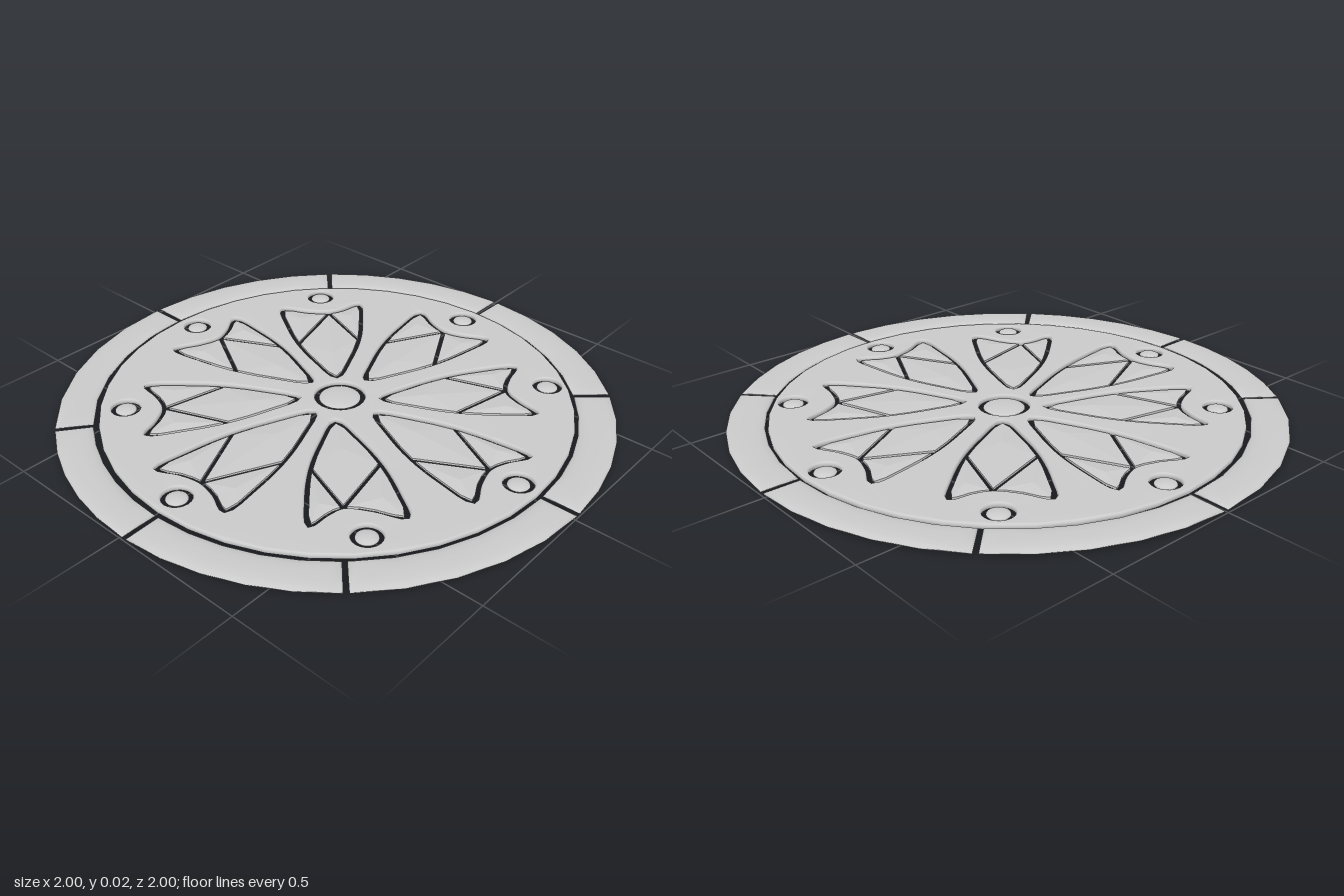
import * as THREE from 'three';
import { mergeVertices } from 'three/addons/utils/BufferGeometryUtils.js';

const HEIGHT = 0.022, GAP = 0.007;
const material = new THREE.MeshStandardMaterial({ color: 0xcccccc });
const facetMaterial = new THREE.MeshStandardMaterial({ color: 0xcccccc, flatShading: true });

// Plan coordinates are (x, -z). Petal corners: inner tip, side A, notch, side B.
const PETALS = [
  [0, 0.17, -0.165, 0.71, 0, 0.65, 0.165, 0.71],
  [0.125, 0.11, 0.365, 0.61, 0.43, 0.455, 0.595, 0.40],
  [0.17, 0.02, 0.72, 0.165, 0.66, 0.02, 0.72, -0.155],
  [0.095, -0.11, 0.61, -0.355, 0.43, -0.45, 0.41, -0.585],
  [0, -0.12, 0.165, -0.71, 0, -0.66, -0.165, -0.71],
  [-0.105, -0.09, -0.34, -0.605, -0.42, -0.455, -0.58, -0.405],
  [-0.145, 0.02, -0.70, -0.16, -0.635, 0.02, -0.70, 0.165],
  [-0.095, 0.11, -0.61, 0.355, -0.45, 0.46, -0.405, 0.595],
];
const STUDS = [[0, 0.78], [0.53, 0.58], [0.775, 0.02], [0.575, -0.505],
  [0, -0.765], [-0.52, -0.55], [-0.77, 0.02], [-0.565, 0.535]];
const HUB = [0, 0.02];
const RIM_JOINTS = [0.9, 43, 89.2, 133.4, 179.4, 232.8, 271.4, 313.3];

function add(parent, name, geometry, mat = material) {
  const mesh = new THREE.Mesh(geometry, mat);
  mesh.name = name;
  parent.add(mesh);
  return mesh;
}

function counterClockwise(points) {
  return THREE.ShapeUtils.isClockWise(points) ? points.slice().reverse() : points;
}

// Moves an outline outward by d (inward when negative), with limited mitres.
function offset(points, d) {
  const p = counterClockwise(points), n = p.length;
  const normal = (a, b) => new THREE.Vector2(b.y - a.y, a.x - b.x).normalize();
  return p.map((v, i) => {
    const n1 = normal(p[(i + n - 1) % n], v), n2 = normal(v, p[(i + 1) % n]);
    const m = n1.clone().add(n2).normalize();
    return v.clone().addScaledVector(m, d / Math.max(m.dot(n1), 0.4));
  });
}

function arc(cx, cy, r, from, to, steps) {
  return Array.from({ length: steps + 1 }, (_, i) => {
    const a = from + (to - from) * i / steps;
    return new THREE.Vector2(cx + r * Math.cos(a), cy + r * Math.sin(a));
  });
}
const circle = (cx, cy, r, n) => arc(cx, cy, r, 0, 2 * Math.PI, n).slice(0, n);

// Flat plate with softly rounded edges above and below.
function pillow(shape, bevel) {
  const round = 0.009;
  let g = new THREE.ExtrudeGeometry(shape, {
    depth: HEIGHT - 2 * round, bevelThickness: round, bevelSize: bevel,
    bevelOffset: -bevel, bevelSegments: 3, curveSegments: 1,
  });
  g.translate(0, 0, round);
  g.rotateX(-Math.PI / 2);
  g.deleteAttribute('uv');
  g.deleteAttribute('normal');
  g = mergeVertices(g, 1e-5);
  g.computeVertexNormals();
  return g;
}

// Cut pane: an outline rising to a point above and below.
function facetedPane(outline) {
  const p = counterClockwise(outline), n = p.length;
  const c = p.reduce((s, v) => s.add(v), new THREE.Vector2()).divideScalar(n);
  const low = 0.007, high = HEIGHT - low, pos = [];
  const put = (v, y) => pos.push(v.x, y, -v.y);
  p.forEach((a, i) => {
    const b = p[(i + 1) % n];
    put(a, high); put(b, high); put(c, HEIGHT);
    put(b, low); put(a, low); put(c, 0);
    put(a, low); put(b, low); put(b, high);
    put(a, low); put(b, high); put(a, high);
  });
  const g = new THREE.BufferGeometry();
  g.setAttribute('position', new THREE.Float32BufferAttribute(pos, 3));
  g.computeVertexNormals();
  return g;
}

// Closed petal curve with 12 knots: 0 tip, 4 side A, 6 notch, 8 side B.
function petalCurve(t) {
  const [T, A, N, B] = [0, 2, 4, 6].map(i => new THREE.Vector2(t[i], t[i + 1]));
  const side = end => {
    const out = end.clone().sub(T).normalize();
    const across = new THREE.Vector2(-out.y, out.x);
    if (across.dot(N.clone().sub(T)) > 0) across.negate();
    const control = T.clone().lerp(end, 0.5).addScaledVector(across, 0.085);
    const q = new THREE.QuadraticBezierCurve(T, control, end);
    return [0.22, 0.5, 0.78].map(s => q.getPoint(s));
  };
  const dip = end => end.clone().lerp(N, 0.5)
    .addScaledVector(T.clone().sub(N).normalize(), 0.008);
  const knots = [T, ...side(A), A, dip(A), N, dip(B), B, ...side(B).reverse()];
  return new THREE.CatmullRomCurve3(knots.map(v => new THREE.Vector3(v.x, v.y, 0)), true);
}

function run(curve, from, to, per) {
  return Array.from({ length: (to - from) * per + 1 }, (_, i) => {
    const v = curve.getPoint(((from + i / per) % 12) / 12);
    return new THREE.Vector2(v.x, v.y);
  });
}

// Low dome, rounded on both faces.
function dome(parent, name, [x, y], r) {
  const m = add(parent, name, new THREE.SphereGeometry(r, 20, 10));
  m.scale.y = HEIGHT / 2 / r;
  m.position.set(x, HEIGHT / 2, -y);
}

export function createModel() {
  const model = new THREE.Group();
  model.name = 'roseWindow';

  // Outer rim in eight blocks
  const rim = new THREE.Group();
  rim.name = 'outerRim';
  model.add(rim);
  RIM_JOINTS.forEach((deg, i) => {
    const rad = Math.PI / 180, next = RIM_JOINTS[i + 1] ?? RIM_JOINTS[0] + 360;
    const a = deg * rad + 0.009, b = next * rad - 0.009;
    const outline = [...arc(0, 0, 1, a, b, 5), ...arc(0, 0, 0.868, b, a, 5)];
    add(rim, 'rimBlock', pillow(new THREE.Shape(outline), 0.05));
  });

  // Tracery plate pierced by petals, studs and hub
  const plate = new THREE.Shape(circle(0, 0.005, 0.854, 40));
  const pierce = points => plate.holes.push(new THREE.Path(points));
  const panes = new THREE.Group();
  panes.name = 'petalPanes';
  model.add(panes);
  PETALS.forEach(t => {
    const curve = petalCurve(t);
    pierce(offset(run(curve, 0, 12, 4).slice(0, -1), GAP));
    const inner = [...run(curve, 10, 14, 2), ...run(curve, 6, 6, 1)];
    add(panes, 'kitePane', facetedPane(offset(inner, -GAP)), facetMaterial);
    for (const from of [2, 6]) {
      add(panes, 'wingPane', facetedPane(offset(run(curve, from, from + 4, 2), -GAP)), facetMaterial);
    }
  });

  // Round studs and central hub
  STUDS.forEach(c => {
    pierce(circle(c[0], c[1], 0.052, 20));
    dome(model, 'stud', c, 0.039);
  });
  pierce(circle(HUB[0], HUB[1], 0.092, 24));
  dome(model, 'hub', HUB, 0.077);
  add(model, 'traceryPlate', pillow(plate, 0.008));
  return model;
}
